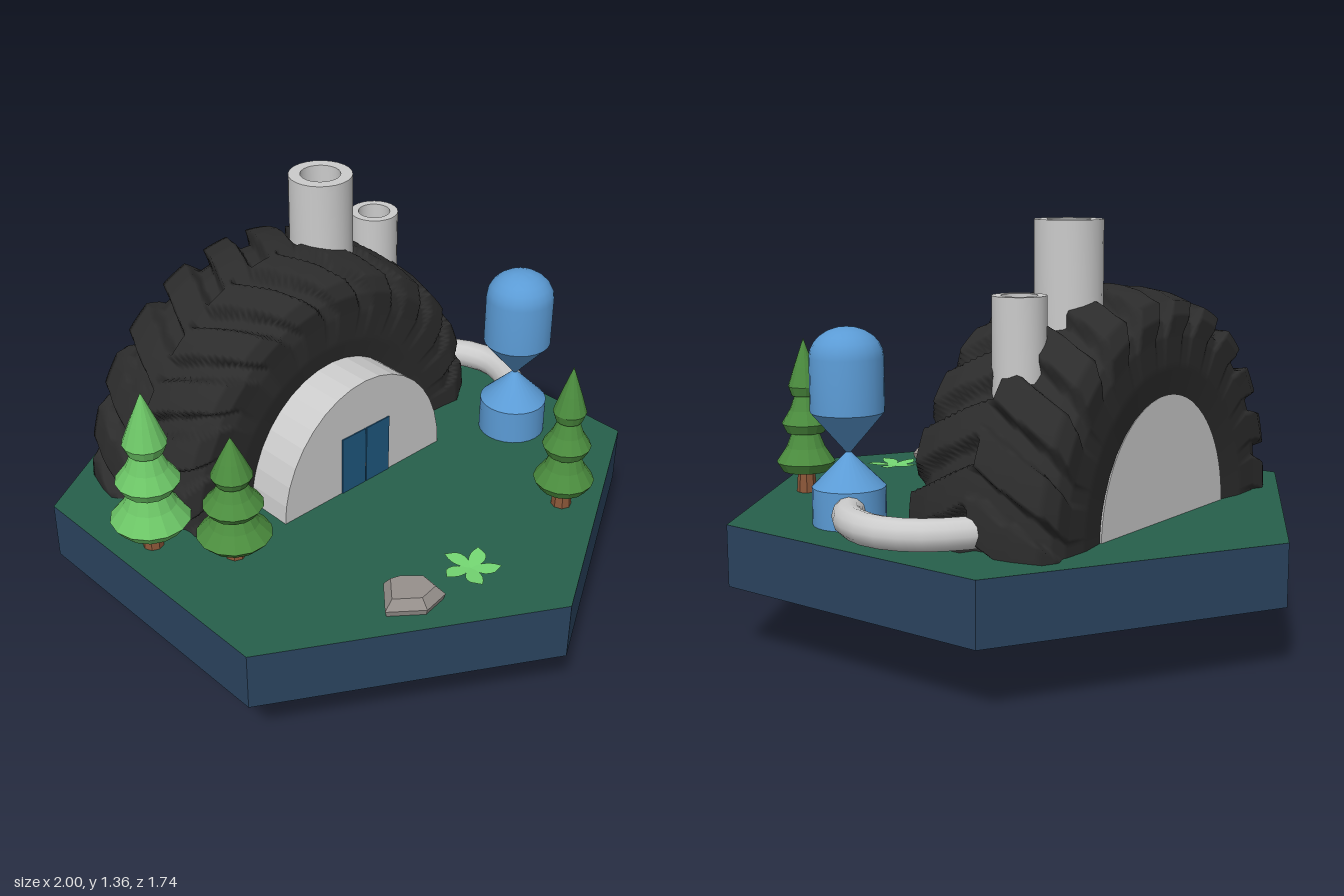
import * as THREE from 'three';
import { toCreasedNormals } from 'three/addons/utils/BufferGeometryUtils.js';
import { ParametricGeometry } from 'three/addons/geometries/ParametricGeometry.js';
import { ConvexGeometry } from 'three/addons/geometries/ConvexGeometry.js';

const GROUND = 0.41;
const V2 = (p) => new THREE.Vector2(p[0], p[1]);
const mat = (color, opts = {}) => new THREE.MeshStandardMaterial({ color, ...opts });
const flat = { flatShading: true };
const thin = { side: THREE.DoubleSide };

function add(parent, name, geometry, material, x = 0, y = 0, z = 0) {
  const mesh = new THREE.Mesh(geometry, material);
  mesh.name = name;
  mesh.position.set(x, y, z);
  parent.add(mesh);
  return mesh;
}

const lathe = (points, sides) =>
  toCreasedNormals(new THREE.LatheGeometry(points.map(V2), sides), 0.5);

// Interpolate a list of [offset, radius] points at t in 0..1
function sample(points, t) {
  const f = t * (points.length - 1);
  const i = Math.min(Math.floor(f), points.length - 2);
  const k = f - i;
  return [0, 1].map((c) => points[i][c] * (1 - k) + points[i + 1][c] * k);
}

// Half tyre: cross-section blends between groove and lug profiles
function tyreGeometry() {
  const groove = [[0, 0.685], [0.07, 0.682], [0.14, 0.675], [0.2, 0.66], [0.245, 0.63], [0.26, 0.58], [0.262, 0.48], [0.245, 0.38]];
  const lug = [[0, 0.735], [0.08, 0.732], [0.16, 0.722], [0.25, 0.695], [0.272, 0.645], [0.266, 0.58], [0.262, 0.48], [0.245, 0.38]];
  const pitch = Math.PI / 11;
  return new ParametricGeometry((u, v, target) => {
    const s = u * 2 - 1;
    const t = Math.abs(s);
    const a = v * Math.PI;
    // Chevron phase, staggered by half a pitch between the two sides
    let phase = a / pitch - 1.3 * Math.min(t, 0.7) + (s > 0 ? 0.5 : 0) + 4;
    phase -= Math.floor(phase);
    const edge = Math.abs(phase - 0.5);
    const m = 1 - THREE.MathUtils.smoothstep(edge, 0.27, 0.38);
    const g = sample(groove, t);
    const l = sample(lug, t);
    const x = g[0] + (l[0] - g[0]) * m;
    const r = g[1] + (l[1] - g[1]) * m;
    target.set(Math.sign(s) * x, r * Math.sin(a), 0.94 * r * Math.cos(a));
  }, 56, 198);
}

function makeWheelHouse() {
  const g = new THREE.Group();
  g.name = 'wheelHouse';
  add(g, 'tyre', tyreGeometry(), mat(0x2c2c2c, thin), -0.31, GROUND, 0.01);

  // Hub: half barrel through the tyre, with oval discs
  const grey = mat(0xcccccc, { ...flat, ...thin });
  const barrel = new THREE.CylinderGeometry(0.405, 0.405, 0.66, 18, 1, true, 0, Math.PI);
  barrel.rotateZ(Math.PI / 2).scale(1, 1, 0.88);
  barrel.computeBoundingBox();
  if (barrel.boundingBox.max.y < 0.1) barrel.rotateX(Math.PI);
  add(g, 'hubBarrel', barrel, grey, -0.23, 0.405, 0.01);
  const disc = (name, x, arc) => {
    const geo = new THREE.CircleGeometry(0.405, 36, 0, arc);
    geo.rotateY(Math.PI / 2).scale(1, 1, 0.88);
    add(g, name, geo, grey, x, 0.405, 0.01);
  };
  disc('hubFace', 0.1, Math.PI * 2);
  disc('hubInnerFace', -0.13, Math.PI * 2);
  disc('hubBackFace', -0.56, Math.PI);

  // Double door in the hub
  for (const side of [-1, 1]) {
    add(g, 'doorPanel', new THREE.BoxGeometry(0.008, 0.215, 0.105), mat(0x1f5880),
      0.1, 0.518, 0.007 + side * 0.0545);
  }

  // Chimneys: hollow pipes with a floor inside
  const chimney = (z, r, inner, bottom, floor, top) =>
    add(g, 'chimney', lathe([[r, bottom], [r, top], [inner, top], [inner, floor], [0, floor]], 24),
      mat(0xcccccc, thin), -0.31, 0, z);
  chimney(-0.17, 0.108, 0.068, 1.0, 1.17, 1.355);
  chimney(-0.42, 0.083, 0.055, 0.82, 0.99, 1.14);
  return g;
}

function makeSilo() {
  const g = new THREE.Group();
  g.name = 'silo';
  const r = 0.116;
  const profile = [[r, GROUND], [r, 0.53], [0.008, 0.638], [r, 0.765], [r, 0.935]];
  for (let i = 1; i <= 6; i++) {
    const a = (i / 6) * Math.PI / 2;
    profile.push([r * Math.cos(a), 0.935 + 0.095 * Math.sin(a)]);
  }
  add(g, 'siloTank', lathe(profile, 24), mat(0x5b9bd5, thin), 0.21, 0, -0.615);

  // Feed pipe curving from the tyre to the silo
  const path = new THREE.CatmullRomCurve3(
    [[-0.36, -0.56], [-0.3, -0.68], [-0.2, -0.78], [-0.07, -0.815], [0.06, -0.77], [0.14, -0.69], [0.18, -0.62]]
      .map(([x, z]) => new THREE.Vector3(x, 0.47, z)));
  add(g, 'feedPipe', new THREE.TubeGeometry(path, 12, 0.05, 12), mat(0xcccccc, thin));
  return g;
}

// Pine: three flared tiers with a wavy hem, on a tapering trunk
function makeTree(x, z, radius, height, color) {
  const g = new THREE.Group();
  g.name = 'pineTree';
  add(g, 'trunk', new THREE.CylinderGeometry(0.02, 0.034, 0.2, 8), mat(0x8a5638, flat), 0, 0.1, 0);
  const tiers = [[1, 0.14, 0.45, 0.42], [0.8, 0.39, 0.68, 0.3], [0.55, 0.63, 1, 0]];
  for (const [r, low, high, tip] of tiers) {
    const points = [[0, low + 0.02], [0.8 * r, low], [r, low + 0.06],
      [0.62 * r + 0.1 * tip, low + (high - low) * 0.5], [tip * 0.8, high]];
    const geo = new THREE.LatheGeometry(points.map(([px, py]) => V2([px * radius, py * height])), 14);
    const pos = geo.attributes.position;
    for (let i = 0; i < pos.count; i++) {
      const px = pos.getX(i), pz = pos.getZ(i);
      const reach = Math.hypot(px, pz) / (r * radius);
      if (reach > 0.75) pos.setY(i, pos.getY(i) + 0.014 * Math.cos(7 * Math.atan2(pz, px)));
    }
    add(g, 'foliageTier', geo, mat(color, { ...flat, ...thin }));
  }
  g.position.set(x, GROUND, z);
  return g;
}

function makeRock() {
  const outline = [[0.565, 0.315], [0.63, 0.245], [0.715, 0.255], [0.73, 0.35], [0.65, 0.45], [0.55, 0.36]];
  const rings = [[0.94, 0.41], [1, 0.43], [0.72, 0.462]];
  const points = rings.flatMap(([s, y]) => outline.map(([x, z]) =>
    new THREE.Vector3(0.64 + (x - 0.64) * s, y, 0.34 + (z - 0.34) * s)));
  const rock = new THREE.Mesh(new ConvexGeometry(points), mat(0x96908c, flat));
  rock.name = 'rock';
  return rock;
}

function makePlant() {
  const g = new THREE.Group();
  g.name = 'groundPlant';
  const shape = new THREE.Shape();
  shape.moveTo(0, 0);
  shape.quadraticCurveTo(0.05, 0.035, 0.03, 0.075);
  shape.lineTo(0, 0.098);
  shape.quadraticCurveTo(-0.035, 0.05, 0, 0);
  const geo = new THREE.ShapeGeometry(shape, 5).rotateX(-Math.PI / 2 + 0.1);
  for (let i = 0; i < 5; i++) {
    add(g, 'leaf', geo, mat(0x74d672, { ...flat, ...thin })).rotation.y = 0.5 + i * Math.PI * 0.4;
  }
  g.position.set(0.67, GROUND + 0.006, 0.095);
  return g;
}

export function createModel() {
  const model = new THREE.Group();
  model.name = 'wheelHouseIsland';

  // Hexagonal base with a green top
  const navy = mat(0x2a435e, flat);
  add(model, 'base', new THREE.CylinderGeometry(1, 1, 0.2, 6, 1, false, Math.PI / 6),
    [navy, mat(0x275f4b, flat), navy], 0, 0.31, 0);

  model.add(makeWheelHouse(), makeSilo(), makeRock(), makePlant());
  model.add(makeTree(-0.11, 0.745, 0.13, 0.575, 0x6cc566));
  model.add(makeTree(0.11, 0.585, 0.122, 0.45, 0x4b8c3e));
  model.add(makeTree(0.638, -0.382, 0.1, 0.53, 0x4b8c3e));
  return model;
}
